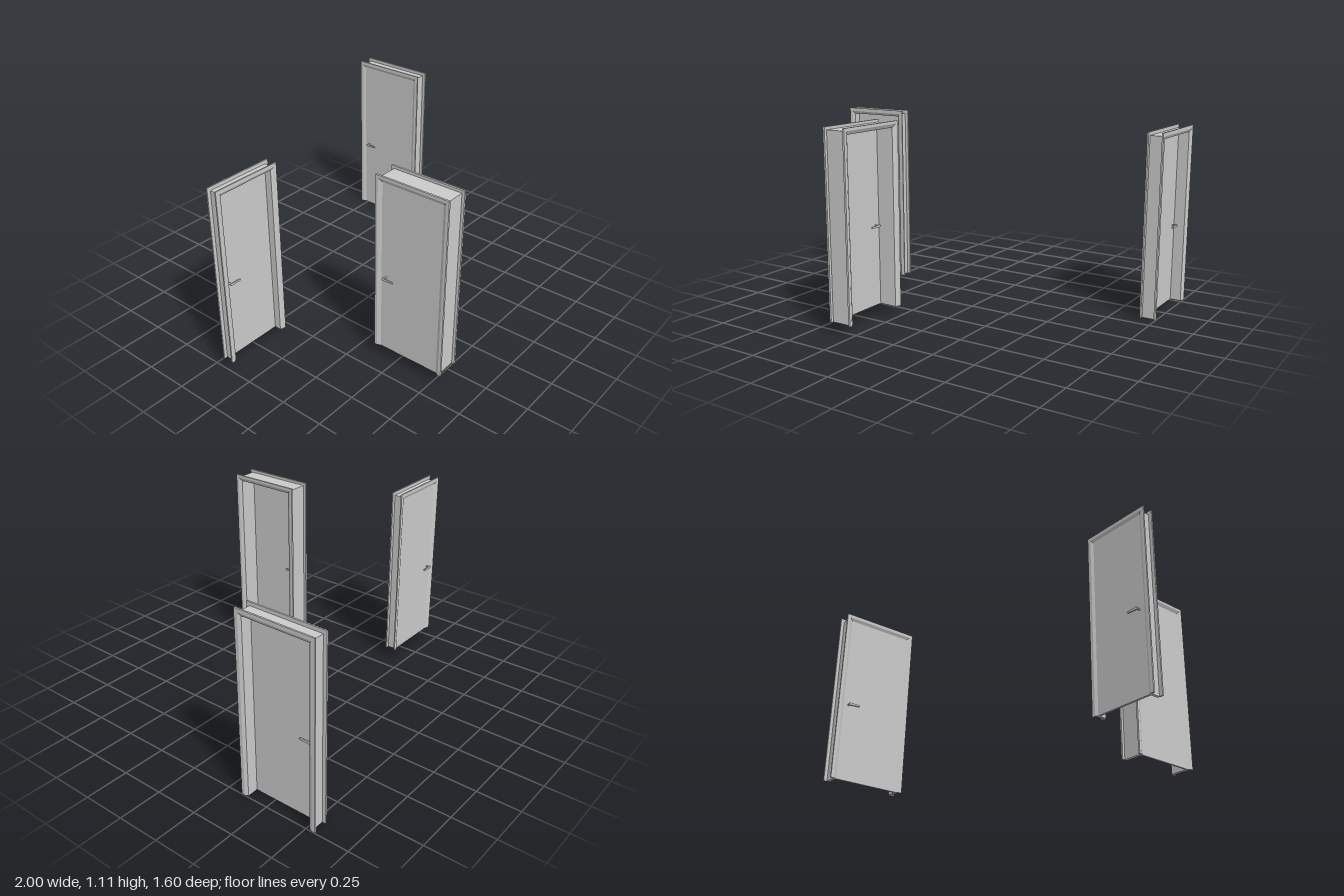
import * as THREE from 'three';

const grey = new THREE.MeshStandardMaterial({ color: 0xcccccc, side: THREE.DoubleSide });

// Frame section (u inward, w through the wall) swept up, across and down with mitred corners
function frameGeometry({ width, height, depth, lip, inset, overhang }) {
  const profile = [
    [0, depth], [overhang, depth], [inset, depth - lip], [inset, lip], [overhang, 0],
    [0, 0], [0, lip], [overhang, lip], [overhang, depth - lip], [0, depth - lip],
  ];
  const stations = [[-1, false], [-1, true], [1, true], [1, false]];
  const rings = stations.map(([side, atTop]) => profile.map(([u, w]) =>
    new THREE.Vector3(side * (width / 2 - u), atTop ? height - u : 0, w - depth / 2)));
  const points = [];
  for (let k = 0; k < 3; k++) {
    for (let i = 0; i < profile.length; i++) {
      const j = (i + 1) % profile.length;
      const [a, b, c, d] = [rings[k][i], rings[k][j], rings[k + 1][j], rings[k + 1][i]];
      points.push(a, b, c, a, c, d);
    }
  }
  // Feet of the two jambs
  const faces = THREE.ShapeUtils.triangulateShape(profile.map(([u, w]) => new THREE.Vector2(u, w)), []);
  for (const ring of [rings[0], rings[3]]) {
    for (const face of faces) points.push(...face.map((i) => ring[i]));
  }
  const geometry = new THREE.BufferGeometry().setFromPoints(points);
  geometry.computeVertexNormals();
  return geometry;
}

function addMesh(parent, name, geometry, x = 0, y = 0, z = 0) {
  const mesh = new THREE.Mesh(geometry, grey);
  mesh.name = name;
  mesh.position.set(x, y, z);
  parent.add(mesh);
  return mesh;
}

// Lever handle standing out along +z, with its grip pointing along +x
function makeHandle(reach) {
  const handle = new THREE.Group();
  handle.name = 'handle';
  const stem = new THREE.CylinderGeometry(0.005, 0.005, reach, 12).rotateX(Math.PI / 2);
  addMesh(handle, 'handleStem', stem, 0, 0, reach / 2);
  const shape = new THREE.Shape();
  shape.absarc(0, 0, 0.008, Math.PI * 0.4, Math.PI * 1.6, false);
  shape.quadraticCurveTo(0.02, -0.006, 0.058, -0.005);
  shape.absarc(0.058, 0, 0.005, -Math.PI / 2, Math.PI / 2, false);
  shape.quadraticCurveTo(0.02, 0.006, 0.0025, 0.0076);
  const lever = new THREE.ExtrudeGeometry(shape, { depth: 0.007, bevelEnabled: false, curveSegments: 8 });
  addMesh(handle, 'handleLever', lever, 0, 0, reach - 0.007);
  return handle;
}

// Door facing +z on its flush side, with the deep reveal on the other side
function makeDoor(spec) {
  const { width, height, depth, lip, inset, hand } = spec;
  const door = new THREE.Group();
  door.name = spec.name;
  addMesh(door, 'doorFrame', frameGeometry(spec));

  const thickness = 0.012;
  const leafFront = depth / 2 - lip;
  const leafHeight = height - inset;
  const leaf = new THREE.BoxGeometry(width - 2 * inset, leafHeight, thickness);
  addMesh(door, 'doorLeaf', leaf, 0, leafHeight / 2, leafFront - thickness / 2);

  // A lever on each face of the leaf
  for (const face of [1, -1]) {
    const handle = makeHandle(lip + 0.018);
    handle.position.set(hand * (width / 2 - 0.067), 0.463, face > 0 ? leafFront : leafFront - thickness);
    handle.rotation.y = face > 0 ? 0 : Math.PI;
    // Turn the lever so the grip always points toward the hinges
    if (hand * face > 0) handle.rotation.z = Math.PI;
    door.add(handle);
  }
  door.position.set(...spec.position);
  door.rotation.y = spec.turn;
  return door;
}

export function createModel() {
  const model = new THREE.Group();
  model.name = 'doorSet';
  const doors = [
    { name: 'narrowDoor', width: 0.41, height: 1.04, depth: 0.068, lip: 0.008, inset: 0.035, overhang: 0.02,
      hand: 1, position: [-0.795, 0.062, -0.156], turn: Math.PI },
    { name: 'deepDoor', width: 0.44, height: 1.05, depth: 0.141, lip: 0.011, inset: 0.036, overhang: 0.016,
      hand: -1, position: [-0.318, 0.062, 0.58], turn: -Math.PI / 2 },
    { name: 'wideDoor', width: 0.466, height: 1.054, depth: 0.093, lip: 0.009, inset: 0.037, overhang: 0.02,
      hand: -1, position: [0.953, 0, -0.57], turn: -Math.PI / 2 },
  ];
  for (const spec of doors) model.add(makeDoor(spec));
  return model;
}
